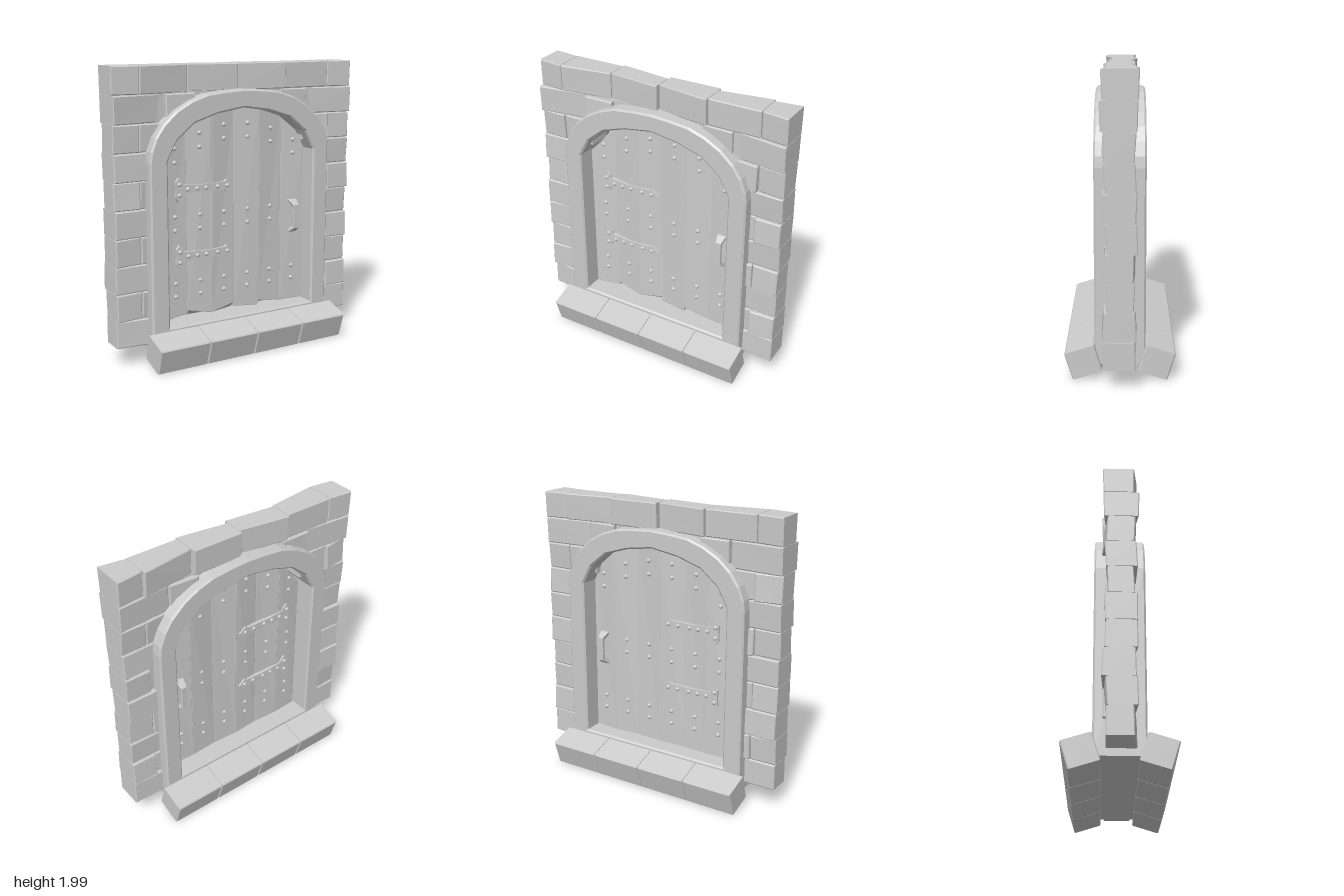
import * as THREE from 'three';

const stoneMat = new THREE.MeshStandardMaterial({ color: 0xcccccc, flatShading: true });
const smoothMat = new THREE.MeshStandardMaterial({ color: 0xcccccc });
const { lerp, smoothstep } = THREE.MathUtils;

let seed = 7;
const rand = (a, b) => {
  seed = (seed * 16807) % 2147483647;
  return a + (b - a) * (seed / 2147483647);
};

const toShape = (pts) => new THREE.Shape(pts.map(([x, y]) => new THREE.Vector2(x, y)));
const rect = (x0, x1, y0, y1) => toShape([[x0, y0], [x1, y0], [x1, y1], [x0, y1]]);

// Plate centred on z = 0 with a chamfer kept inside the outline
function slab(shape, depth, bevel) {
  const geo = new THREE.ExtrudeGeometry(shape, {
    depth: depth - 2 * bevel, bevelEnabled: bevel > 0, bevelSegments: 1,
    bevelSize: bevel, bevelThickness: bevel, bevelOffset: -bevel,
  });
  return geo.translate(0, 0, bevel - depth / 2);
}

function add(parent, geo, name, mat = stoneMat) {
  const mesh = new THREE.Mesh(geo, mat);
  mesh.name = name;
  parent.add(mesh);
  return mesh;
}

// Chamfered block whose front and back are skewed; reach(u, v, front) gives the half depth
function skewBlock(shape, bevel, x0, x1, y0, y1, reach) {
  const geo = slab(shape, 0.2, bevel);
  const p = geo.attributes.position;
  for (let i = 0; i < p.count; i++) {
    const u = (p.getX(i) - x0) / (x1 - x0), v = (p.getY(i) - y0) / (y1 - y0), z = p.getZ(i);
    p.setZ(i, (z / 0.1) * reach(u, v, z > 0));
  }
  return geo;
}

// Corners are the half depths at front left, front right, back left, back right
function wallStone(parent, x0, x1, y0, y1, corners) {
  const c = corners || [0, 1, 2, 3].map(() => rand(0.078, 0.108));
  const low = corners ? [0.95, 0.95] : [rand(0.85, 1.12), rand(0.85, 1.12)];
  const g = 0.002;
  add(parent, skewBlock(rect(x0 + g, x1 - g, y0 + g, y1 - g), 0.006, x0, x1, y0, y1,
    (u, v, front) => (front ? lerp(c[0], c[1], u) : lerp(c[2], c[3], u)) * lerp(low[front ? 0 : 1], 1, v)),
  'wallStone');
}

// Mirrors half an arch (listed from the spring to the crown) into a left-to-right line
const archLine = (half) => [...half.map(([x, y]) => [-x, y]), ...half.slice(0, -1).reverse()];

function buildWall() {
  const wall = new THREE.Group();
  wall.name = 'wall';
  const step = 0.1855;
  for (let row = 0; row < 9; row++) {
    const y0 = 0.145 + row * step, y1 = y0 + step;
    for (const s of [-1, 1]) {
      // spans run from the outer edge inwards
      const spans = row === 8 ? [[0.93, 0.557], [0.557, 0.34]]
        : row % 2 ? [[0.93, 0.743], [0.743, row === 7 ? 0.52 : 0.63]]
          : [[0.93, 0.63]];
      spans.forEach(([a, b], i) => {
        const flare = s > 0 ? [0.065, 0.125, 0.08, 0.11] : [0.125, 0.065, 0.11, 0.08];
        const corners = row === 8 && i === 0 ? flare : null;
        wallStone(wall, Math.min(s * a, s * b), Math.max(s * a, s * b), y0, y1, corners);
      });
    }
  }
  // top course
  const xs = [-0.93, -0.743, -0.372, 0, 0.372, 0.743, 0.93];
  const top = [
    [0.09, 0.115, 0.115, 0.095], [0.115, 0.06, 0.1, 0.1], [0.05, 0.09, 0.12, 0.065],
    [0.055, 0.11, 0.1, 0.1], [0.09, 0.09, 0.065, 0.12], [0.085, 0.115, 0.095, 0.118],
  ];
  top.forEach((c, i) => wallStone(wall, xs[i], xs[i + 1], 1.8145, 2, c));
  // mortar filling the joints
  const arch = archLine([[0.63, 0.15], [0.63, 1.39], [0.55, 1.56], [0.4, 1.68], [0.2, 1.75], [0, 1.77]]);
  add(wall, slab(toShape([...arch, [0.926, 0.15], [0.926, 1.82], [-0.926, 1.82], [-0.926, 0.15]]), 0.14, 0), 'mortar');
  add(wall, slab(rect(-0.926, 0.926, 1.81, 1.994), 0.09, 0), 'topMortar');
  return wall;
}

function buildFrame() {
  const outer = archLine([[0.705, 0.1], [0.705, 1.38], [0.695, 1.45], [0.66, 1.54], [0.6, 1.625],
    [0.51, 1.705], [0.4, 1.765], [0.28, 1.805], [0.14, 1.82], [0, 1.828]]);
  const inner = archLine([[0.575, 0.255], [0.575, 1.385], [0.505, 1.515], [0.375, 1.62], [0.2, 1.675], [0, 1.705]]);
  const shape = toShape(outer);
  // the opening winds against the outline
  shape.holes.push(toShape(inner.reverse()));
  return slab(shape, 0.33, 0.012);
}

const plankX = [-0.465, -0.275, -0.085, 0.105, 0.295, 0.485];
const FACE = 0.032;

function buildPlanks() {
  const planks = new THREE.Group();
  planks.name = 'planks';
  // left x, right x, left bottom, right bottom, left top, right top
  const rows = [
    [-0.565, -0.372, 0.26, 0.285, 1.375, 1.6], [-0.373, -0.182, 0.305, 0.262, 1.61, 1.665],
    [-0.183, 0.002, 0.265, 0.305, 1.65, 1.7], [0.001, 0.197, 0.275, 0.258, 1.71, 1.68],
    [0.196, 0.39, 0.29, 0.258, 1.68, 1.63], [0.389, 0.58, 0.258, 0.258, 1.62, 1.46],
  ];
  rows.forEach(([x0, x1, b0, b1, t0, t1], i) => {
    const tilt = (i % 2 ? 1 : -1) * 0.013;
    const geo = skewBlock(toShape([[x0, b0], [x1, b1], [x1, t1], [x0, t0]]), 0.004, x0, x1, 0.26, 1.69,
      (u, v, front) => FACE + (front ? 1 : -1) * tilt * (u - 0.5) * 2 * (0.4 + v * 0.6));
    // slanted underside: the rear edge reaches the threshold
    const p = geo.attributes.position;
    for (let k = 0; k < p.count; k++) if (p.getZ(k) < 0 && p.getY(k) < 0.4) p.setY(k, 0.256);
    add(planks, geo, 'plank');
  });
  return planks;
}

// Domed rivet facing +z
function rivet(parent, x, y, z) {
  const geo = new THREE.SphereGeometry(0.016, 10, 4, 0, Math.PI * 2, 0, Math.PI / 2);
  geo.rotateX(Math.PI / 2);
  add(parent, geo, 'rivet', smoothMat).position.set(x, y, z);
}

function buildHinge(y) {
  const hinge = new THREE.Group();
  hinge.name = 'hinge';
  const half = [[-0.465, 0.055], [-0.44, 0.083], [-0.412, 0.055], [-0.405, 0.035], [-0.34, 0.03], [-0.27, 0.025],
    [-0.2, 0.025], [-0.09, 0.029], [-0.07, 0.042]];
  const outline = [[-0.46, 0], ...half, [-0.02, 0], ...half.map(([x, h]) => [x, -h]).reverse()];
  add(hinge, slab(toShape(outline), 0.03, 0), 'hingePlate').position.z = FACE + 0.004;
  for (const [x, dy] of [[-0.44, 0.037], [-0.44, -0.037], [-0.375, 0], [-0.305, 0], [-0.235, 0], [-0.145, 0], [-0.068, 0]])
    rivet(hinge, x, dy, FACE + 0.018);
  hinge.position.y = y;
  return hinge;
}

// Bowed pull, wider at its feet
function buildHandle() {
  const side = [[0, -0.12], [0.022, -0.12], [0.07, -0.085], [0.07, 0.085], [0.022, 0.12], [0, 0.12],
    [0, 0.095], [0.045, 0.07], [0.045, -0.07], [0, -0.095]];
  const geo = slab(toShape(side), 0.06, 0.004).rotateY(-Math.PI / 2);
  const p = geo.attributes.position;
  for (let i = 0; i < p.count; i++)
    p.setX(i, p.getX(i) * lerp(0.65, 1.1, smoothstep(Math.abs(p.getY(i)), 0.075, 0.115)));
  return geo;
}

// Rivets, hinges and handle for one face of the door
function buildFittings(name) {
  const g = new THREE.Group();
  g.name = name;
  const topY = [1.35, 1.445, 1.49, 1.49, 1.445, 1.35];
  plankX.forEach((x, i) => {
    const ys = [0.42, 0.513, topY[i], topY[i] + 0.095];
    if (i < 5) ys.push(0.885, 0.98);
    ys.forEach((y) => rivet(g, x, y, FACE));
  });
  g.add(buildHinge(1.165), buildHinge(0.7));
  add(g, buildHandle(), 'handle').position.set(0.485, 0.89, FACE - 0.006);
  return g;
}

// Row of four tilted step stones
function buildStep(side) {
  const step = new THREE.Group();
  step.name = side > 0 ? 'frontStep' : 'backStep';
  for (let i = 0; i < 4; i++) {
    const stone = add(step, slab(rect(-0.1835, 0.1835, -0.092, 0.092), 0.2, 0.007), 'stepStone');
    stone.position.set((i - 1.5) * 0.371, 0.122, side * 0.236);
    stone.rotation.x = side * 0.3;
  }
  return step;
}

export function createModel() {
  seed = 7;
  const model = new THREE.Group();
  model.name = 'stoneDoorway';
  model.add(buildWall());
  add(model, buildFrame(), 'archFrame');
  model.add(buildPlanks());
  model.add(buildFittings('frontFittings'));
  // the back repeats the front, mirrored in z
  const back = buildFittings('backFittings');
  back.scale.z = -1;
  model.add(back);
  model.add(buildStep(1), buildStep(-1));
  return model;
}
